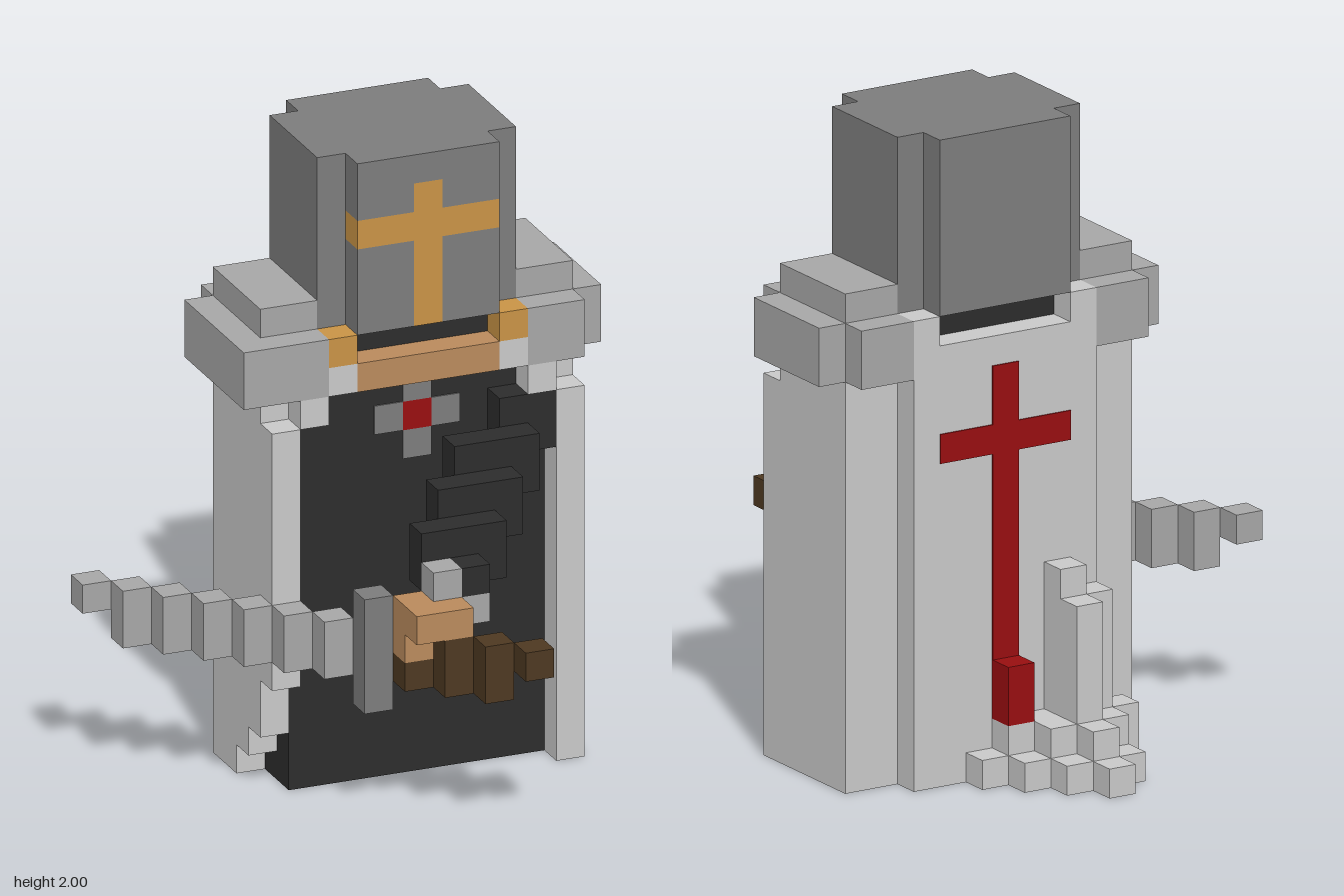
import * as THREE from 'three';

const U = 2 / 22; // one block

const mat = (name, color) => {
  const m = new THREE.MeshStandardMaterial({ color });
  m.name = name;
  return m;
};

export function createModel() {
  const model = new THREE.Group();
  model.name = 'blockKnight';
  const cloth = mat('pale cloth', 0xc8c8c8);
  const steel = mat('light steel', 0xa6a6a6);
  const iron = mat('dark iron', 0x7c7c7c);
  const black = mat('black cloth', 0x2c2c2c);
  const gold = mat('gold', 0xc89346);
  const skin = mat('skin', 0xb98a5c);
  const leather = mat('brown leather', 0x4d3821);
  const red = mat('red', 0x980e10);

  // Adds a named part made of boxes [x0, x1, y0, y1, z0, z1] in block units
  const part = (name, material, boxes) => {
    const g = new THREE.Group();
    g.name = name;
    for (const [x0, x1, y0, y1, z0, z1] of boxes) {
      const mesh = new THREE.Mesh(
        new THREE.BoxGeometry((x1 - x0) * U, (y1 - y0) * U, (z1 - z0) * U), material);
      mesh.name = name;
      mesh.position.set(((x0 + x1) / 2 - 8.5) * U, ((y0 + y1) / 2) * U, ((z0 + z1) / 2 - 8.5) * U);
      g.add(mesh);
    }
    model.add(g);
  };
  // Mirrors boxes across the body's middle plane (x = 10.5 blocks)
  const both = (boxes) => boxes.flatMap((b) => [b, [21 - b[1], 21 - b[0], ...b.slice(2)]]);

  // Robe body and cape
  part('tunic', black, [[6, 15, 0, 14, 6, 9]]);
  part('capeBack', cloth, [[7, 14, 0, 14, 4, 5], [8, 13, 14, 15, 4, 5], [6, 15, 0, 14, 5, 6]]);
  part('leftCapeSide', cloth, [[15, 16, 0, 14, 5, 9], [15, 16, 0, 13, 9, 10]]);
  part('rightCapeSide', cloth, [
    [5, 6, 0, 14, 5, 7], [5, 6, 1, 14, 7, 8], [5, 6, 2, 14, 8, 9], [5, 6, 4, 13, 9, 10],
  ]);
  part('collar', cloth, both([[6, 7, 13, 14, 9, 10], [7, 8, 14, 15, 9, 10], [7, 8, 14, 16, 4, 5]]));

  // Trailing hem: [x, z, height]
  const hem = [
    [6, 3, 2], [7, 3, 6], [8, 3, 7], [9, 3, 2], [10, 3, 2], [11, 3, 1],
    [7, 2, 2], [8, 2, 6], [9, 2, 2], [10, 2, 1],
    [7, 1, 1], [8, 1, 2], [9, 1, 1], [8, 0, 1],
  ];
  part('capeTrain', cloth, hem.map(([x, z, h]) => [x, x + 1, 0, h, z, z + 1]));

  // Red cross on the back, with its foot on the train
  part('backCross', red, [
    [10, 11, 4, 11, 3.95, 4], [10, 11, 12, 14, 3.95, 4], [8, 13, 11, 12, 3.95, 4],
    [10, 11, 2, 4, 3, 4],
  ]);

  // Chest emblem
  part('chestEmblem', iron, [
    [9, 10, 12, 13, 9, 9.05], [11, 12, 12, 13, 9, 9.05],
    [10, 11, 11, 12, 9, 9.05], [10, 11, 13, 14, 9, 9.05],
  ]);
  part('chestGem', red, [[10, 11, 12, 13, 9, 9.05]]);

  // Shoulder armour
  part('shoulder', steel, [
    ...both([[5, 7, 14, 16, 4, 10], [4, 5, 14, 16, 5, 9], [5, 7, 16, 17, 5, 9]]),
    [4, 5, 14, 16, 9, 10],
  ]);

  // Head and helmet
  part('head', black, [[7, 14, 14, 16, 5, 9]]);
  part('chin', skin, [[8, 13, 14, 15, 9, 10]]);
  part('clasp', gold, both([[7, 8, 15, 16, 9, 10]]));
  part('helmet', iron, [
    [7, 14, 16, 22, 5, 9], [8, 13, 16, 22, 4, 5], [8, 13, 21, 22, 9, 10],
    ...both([[8, 10, 16, 19, 9, 10], [8, 10, 20, 21, 9, 10]]),
  ]);
  part('helmetCross', gold, [
    [8, 13, 19, 20, 9, 10], [10, 11, 16, 19, 9, 10], [10, 11, 20, 21, 9, 10],
  ]);

  // Sword arm reaching across the body
  part('swordArm', black, [
    [13, 15, 11, 13, 9, 10], [11, 14, 10, 12, 10, 11], [10, 13, 9, 11, 11, 12],
    [9, 12, 8, 10, 12, 13], [10, 11, 7, 8, 12, 13], [10, 11, 8, 9, 13, 14],
  ]);
  part('cuff', steel, [[9, 10, 7, 9, 13, 14], [10, 11, 7, 8, 13, 14]]);
  part('hand', skin, [[8, 9, 6, 8, 13, 14], [8, 10, 7, 8, 14, 15]]);

  // Sword, running diagonally one block at a time
  const blade = [[0, 1, 6, 7, 5, 6]];
  for (let i = 1; i < 7; i++) blade.push([i, i + 1, 5, 7, i + 5, i + 6]);
  part('blade', steel, blade);
  part('crossguard', iron, [[7, 8, 4, 8, 12, 13]]);
  part('grip', leather, [
    [8, 9, 5, 6, 13, 14], [9, 10, 5, 7, 14, 15], [10, 11, 5, 7, 15, 16], [11, 12, 6, 7, 16, 17],
  ]);

  return model;
}
